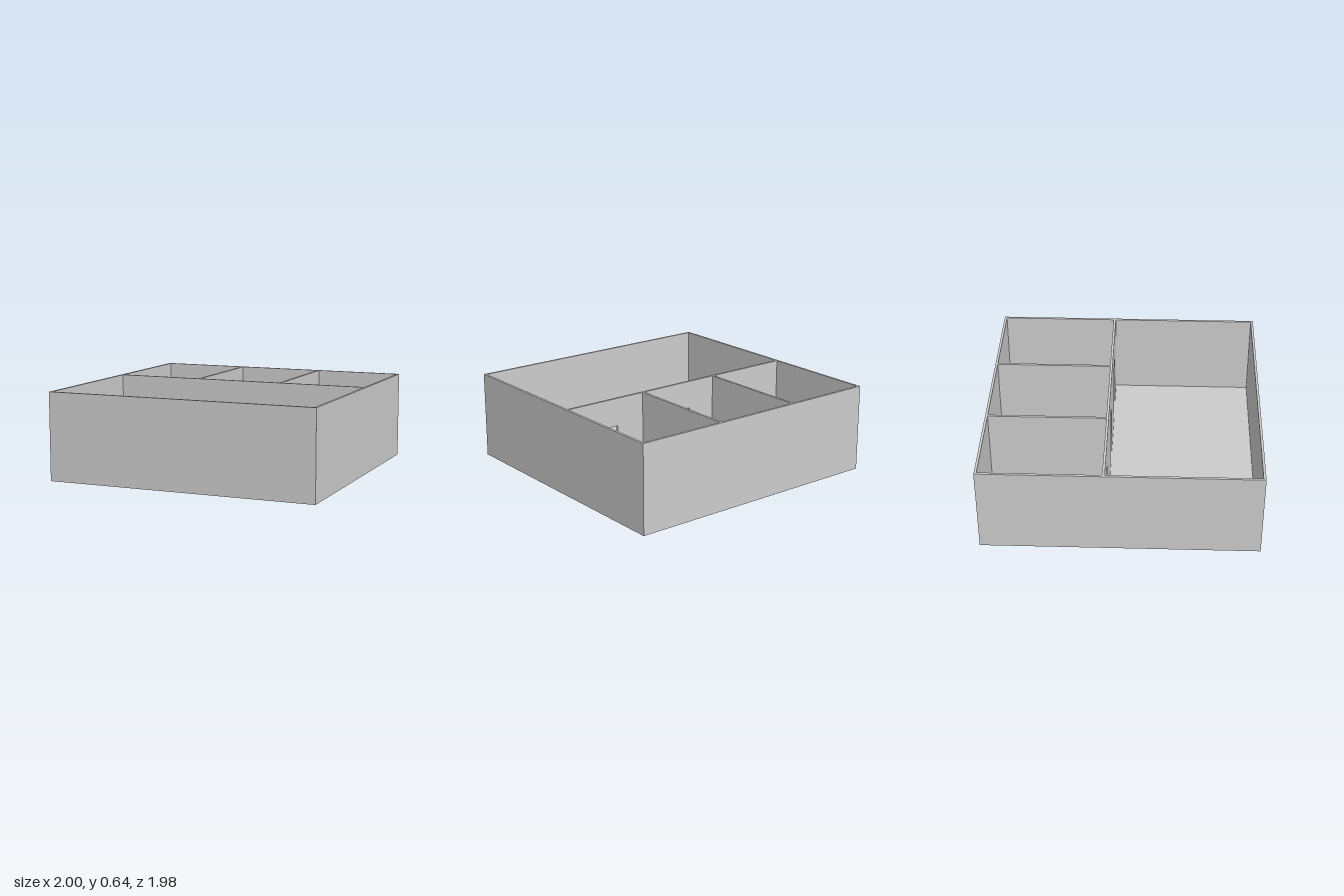
import * as THREE from 'three';

const X = 1, Z = 0.99, H = 0.645;      // half width, half depth, height
const T = 0.018, FLOOR = 0.01;         // wall and floor thickness
const PARTITION_Z = -0.11;             // centre line of the wall with doorways
const DOOR_W = 0.196, DOOR_TOP = 0.438;

export function createModel() {
  const model = new THREE.Group();
  model.name = 'roomedHouse';
  const material = new THREE.MeshStandardMaterial({ color: 0xcccccc });

  const add = (name, geometry) => {
    const mesh = new THREE.Mesh(geometry, material);
    mesh.name = name;
    model.add(mesh);
    return mesh;
  };

  // Floor slab inside the outer walls
  const inX = X - T, inZ = Z - T;
  add('floor', new THREE.BoxGeometry(2 * inX, FLOOR, 2 * inZ)).position.y = FLOOR / 2;
  
  // Outer walls: one rectangular ring, extruded upward
  const rect = (x, z) => [[-x, -z], [x, -z], [x, z], [-x, z]].map(p => new THREE.Vector2(...p));
  const ring = new THREE.Shape(rect(X, Z));
  ring.holes.push(new THREE.Path(rect(inX, inZ).reverse()));
  const outer = new THREE.ExtrudeGeometry(ring, { depth: H, bevelEnabled: false });
  outer.rotateX(-Math.PI / 2);
  add('outerWalls', outer);

  // Cross wall: its outline steps around three doorways open to the floor
  const roomW = (2 * inX - 2 * T) / 3;
  const pitch = roomW + T;
  const outline = new THREE.Shape();
  outline.moveTo(-inX, FLOOR);
  for (const i of [-1, 0, 1]) {
    const left = i * pitch - DOOR_W / 2, right = left + DOOR_W;
    outline.lineTo(left, FLOOR);
    outline.lineTo(left, DOOR_TOP);
    outline.lineTo(right, DOOR_TOP);
    outline.lineTo(right, FLOOR);
  }
  outline.lineTo(inX, FLOOR);
  outline.lineTo(inX, H);
  outline.lineTo(-inX, H);
  const cross = new THREE.ExtrudeGeometry(outline, { depth: T, bevelEnabled: false });
  add('doorwayWall', cross).position.z = PARTITION_Z - T / 2;

  // Two dividers separate the three back rooms
  const backEnd = -inZ, frontEnd = PARTITION_Z - T / 2;
  for (const side of [-1, 1]) {
    const divider = add(side > 0 ? 'leftRoomDivider' : 'rightRoomDivider',
      new THREE.BoxGeometry(T, H - FLOOR, frontEnd - backEnd));
    divider.position.set(side * pitch / 2, (H + FLOOR) / 2, (frontEnd + backEnd) / 2);
  }

  return model;
}
